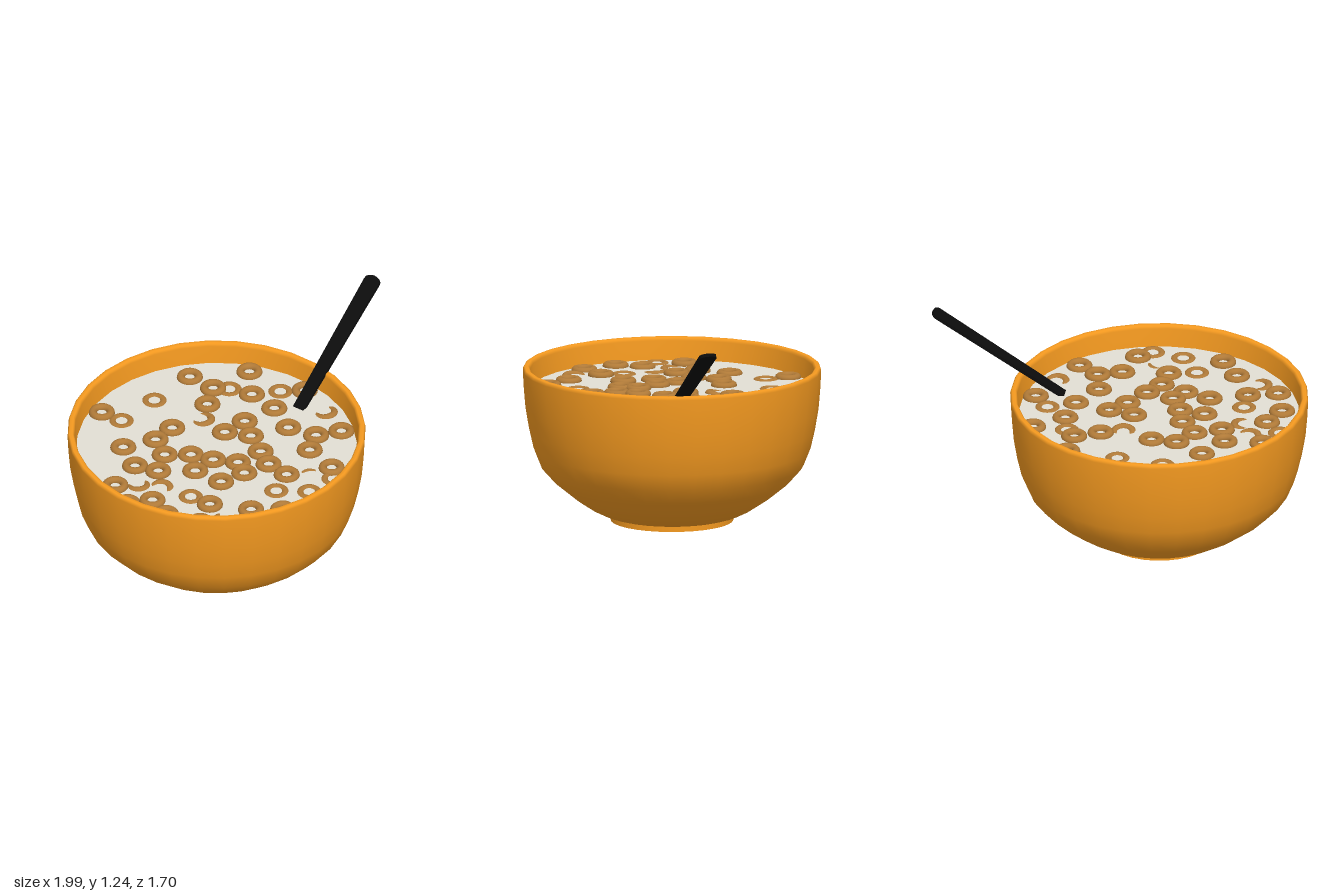
import * as THREE from 'three';

const CX = -0.15, MILK_Y = 0.76;
const paint = (color, side = THREE.FrontSide) => new THREE.MeshStandardMaterial({ color, side });

function add(parent, name, geometry, material, x = 0, y = 0, z = 0) {
  const mesh = new THREE.Mesh(geometry, material);
  mesh.name = name;
  mesh.position.set(x, y, z);
  parent.add(mesh);
  return mesh;
}

// Flat floating rings: x, z pairs
const HIGH = [
  [-.13, -.68], [.21, -.64], [-.03, -.54], [.17, -.43], [-.70, -.48], [-.10, -.40], [.26, -.27],
  [-.35, -.235], [-.47, -.15], [-.665, -.13], [-.07, -.12], [.065, -.19], [.065, -.05], [-.455, 0],
  [-.645, .06], [-.31, .035], [-.2, .115], [-.53, .14], [-.325, .19], [-.07, .175], [.08, .11],
  [-.06, .28], [.095, .235], [-.21, .33], [.17, .355], [.355, .165], [.425, .04], [.575, .035],
  [.29, -.07], [-.8, .21], [-.63, .395], [-.59, .545], [-.325, .52], [-.42, .665], [-.11, .625],
  [.065, .675], [.435, .355], [.47, -.39],
];
// Rings lying deeper in the milk
const LOW = [
  [-.38, -.52], [.06, -.515], [.335, -.42], [-.61, -.38], [-.77, .37], [-.41, .415],
  [.075, .485], [.255, .54], [.42, .455],
];
// Tipped rings: x, z, direction of the raised side (x, z), sink
const TIPPED = [
  [-.16, -.28, .7, .7, .016], [.535, -.17, .4, .9, .018], [-.67, .225, .1, 1, .02],
  [-.55, .285, .7, -.7, .02], [.30, .39, 0, -1, .03], [-.27, .66, -.6, .8, .018],
];

export function createModel() {
  const model = new THREE.Group();
  model.name = 'cerealBowl';
  const orange = paint(0xf59a20);

  // Bowl: closed wall profile, outside up, over the rim, and down the inside
  const profile = [
    [0, .03], [.35, .03], [.40, .045], [.47, .08], [.56, .14], [.67, .23], [.75, .32], [.79, .42],
    [.815, .53], [.835, .65], [.845, .77], [.85, .87], [.847, .884], [.84, .89],
    [.822, .89], [.814, .884], [.81, .87], [.80, .76], [.785, .6], [.75, .42], [.70, .32],
    [.6, .21], [.48, .13], [.36, .08], [0, .07],
  ].map(([r, y]) => new THREE.Vector2(r, y));
  add(model, 'bowl', new THREE.LatheGeometry(profile, 32), orange, CX);
  add(model, 'foot', new THREE.CylinderGeometry(.35, .35, .034, 32), orange, CX, .017);

  // Milk surface
  const milk = new THREE.CircleGeometry(.8, 32).rotateX(-Math.PI / 2);
  add(model, 'milk', milk, paint(0xe2dfd4), CX, MILK_Y);

  // Cereal rings
  const cereal = new THREE.Group();
  cereal.name = 'cereal';
  model.add(cereal);
  const ring = new THREE.TorusGeometry(.0515, .0235, 12, 24).rotateX(Math.PI / 2);
  const tan = paint(0xb07a38);
  HIGH.forEach(([x, z], i) => add(cereal, 'cerealRing', ring, tan, x, MILK_Y + .002 * (i % 3), z));
  LOW.forEach(([x, z]) => add(cereal, 'sunkenRing', ring, tan, x, MILK_Y - .014, z));
  const up = new THREE.Vector3(0, 1, 0);
  for (const [x, z, dx, dz, sink] of TIPPED) {
    const tipped = add(cereal, 'tippedRing', ring, tan, x, MILK_Y - sink, z);
    tipped.quaternion.setFromUnitVectors(up, new THREE.Vector3(-dx * .22, 1, -dz * .22).normalize());
  }

  // Spoon handle: flat tapered strip with a rounded end, leaning over the rim
  const low = new THREE.Vector3(.375, .735, -.225), high = new THREE.Vector3(.972, 1.235, -.728);
  const along = high.clone().sub(low), length = along.length();
  along.normalize();
  const across = new THREE.Vector3().crossVectors(along, up).normalize();
  const outline = new THREE.Shape();
  outline.moveTo(-.035, 0);
  outline.lineTo(.035, 0);
  outline.lineTo(.05, length - .035);
  outline.bezierCurveTo(.05, length + .012, -.05, length + .012, -.05, length - .035);
  outline.closePath();
  const strip = new THREE.ExtrudeGeometry(outline, { depth: .02, bevelEnabled: false, curveSegments: 8 });
  strip.translate(0, 0, -.01);
  const handle = add(model, 'spoonHandle', strip, paint(0x0c0c0c), low.x, low.y, low.z);
  handle.quaternion.setFromRotationMatrix(
    new THREE.Matrix4().makeBasis(across, along, new THREE.Vector3().crossVectors(across, along)));

  return model;
}
